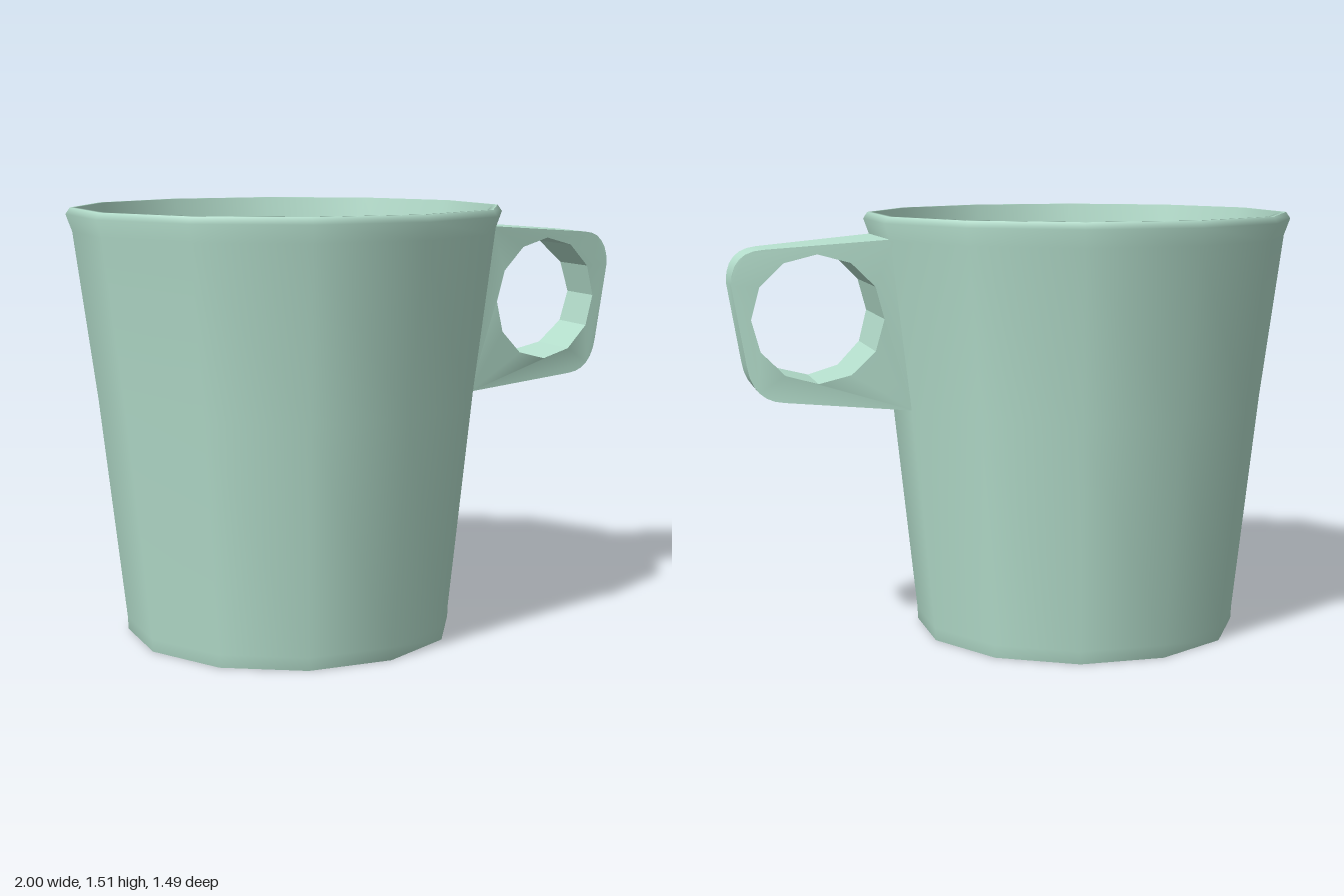
import * as THREE from 'three';
import { toCreasedNormals } from 'three/addons/utils/BufferGeometryUtils.js';

const SIDES = 12;
const CENTRE_X = -0.255;
const HALF_STEP = Math.PI / SIDES;

export function createModel() {
  const glaze = new THREE.MeshStandardMaterial({ color: 0xb5dfcd });
  glaze.name = 'pale green glaze';
  const mug = new THREE.Group();
  mug.name = 'mug';

  const add = (name, geometry) => {
    const mesh = new THREE.Mesh(geometry, glaze);
    mesh.name = name;
    mug.add(mesh);
    return mesh;
  };

  // Twelve-sided turned part; profile radii are measured to the flat sides
  const turned = (name, profile) => {
    const points = profile.map(([r, y]) => new THREE.Vector2(r / Math.cos(HALF_STEP), y));
    add(name, new THREE.LatheGeometry(points, SIDES, HALF_STEP)).position.x = CENTRE_X;
  };

  // Recessed underside and the upright wall around it
  turned('underside', [[0, 0.105], [0.55, 0.105]]);
  turned('footInnerWall', [[0.55, 0.105], [0.557, 0]]);

  // Outer wall with a slightly flared rim
  turned('outerWall', [
    [0.557, 0], [0.565, 0], [0.567, 0.045], [0.65, 0.84],
    [0.724, 1.43], [0.745, 1.49], [0.73, 1.513],
  ]);

  // Rim top and inner wall running smoothly into the floor
  turned('innerWall', [[0.73, 1.513], [0.711, 1.513], [0.62, 0.84], [0.54, 0.13], [0, 0.13]]);

  // Handle outline with a round finger hole
  const outline = new THREE.Shape();
  outline.moveTo(0.46, 1.436);
  outline.lineTo(0.89, 1.402);
  outline.quadraticCurveTo(1.0, 1.395, 1.0, 1.28);
  outline.lineTo(0.953, 1.0);
  outline.quadraticCurveTo(0.935, 0.88, 0.83, 0.874);
  outline.lineTo(0.385, 0.839);
  outline.closePath();
  const holePoints = [];
  for (let i = 0; i < SIDES; i++) {
    const a = (i / SIDES) * Math.PI * 2;
    holePoints.push(new THREE.Vector2(0.712 + 0.224 * Math.cos(a), 1.162 + 0.224 * Math.sin(a)));
  }
  outline.holes.push(new THREE.Path(holePoints));
  const handle = new THREE.ExtrudeGeometry(outline, {
    depth: 2, bevelEnabled: false, curveSegments: 6,
  });
  handle.translate(0, 0, -1);

  // Taper the handle from one full facet of the cup to a narrow grip
  const p = handle.attributes.position;
  for (let i = 0; i < p.count; i++) {
    const wall = THREE.MathUtils.mapLinear(p.getY(i), 0.84, 1.43, 0.395, 0.469);
    const facetHalf = (wall - CENTRE_X) * Math.tan(HALF_STEP);
    const t = THREE.MathUtils.clamp((p.getX(i) - wall) / (0.98 - wall), 0, 1);
    p.setZ(i, p.getZ(i) * THREE.MathUtils.lerp(facetHalf, 0.085, t));
  }
  add('handle', toCreasedNormals(handle, 0.5));

  return mug;
}
